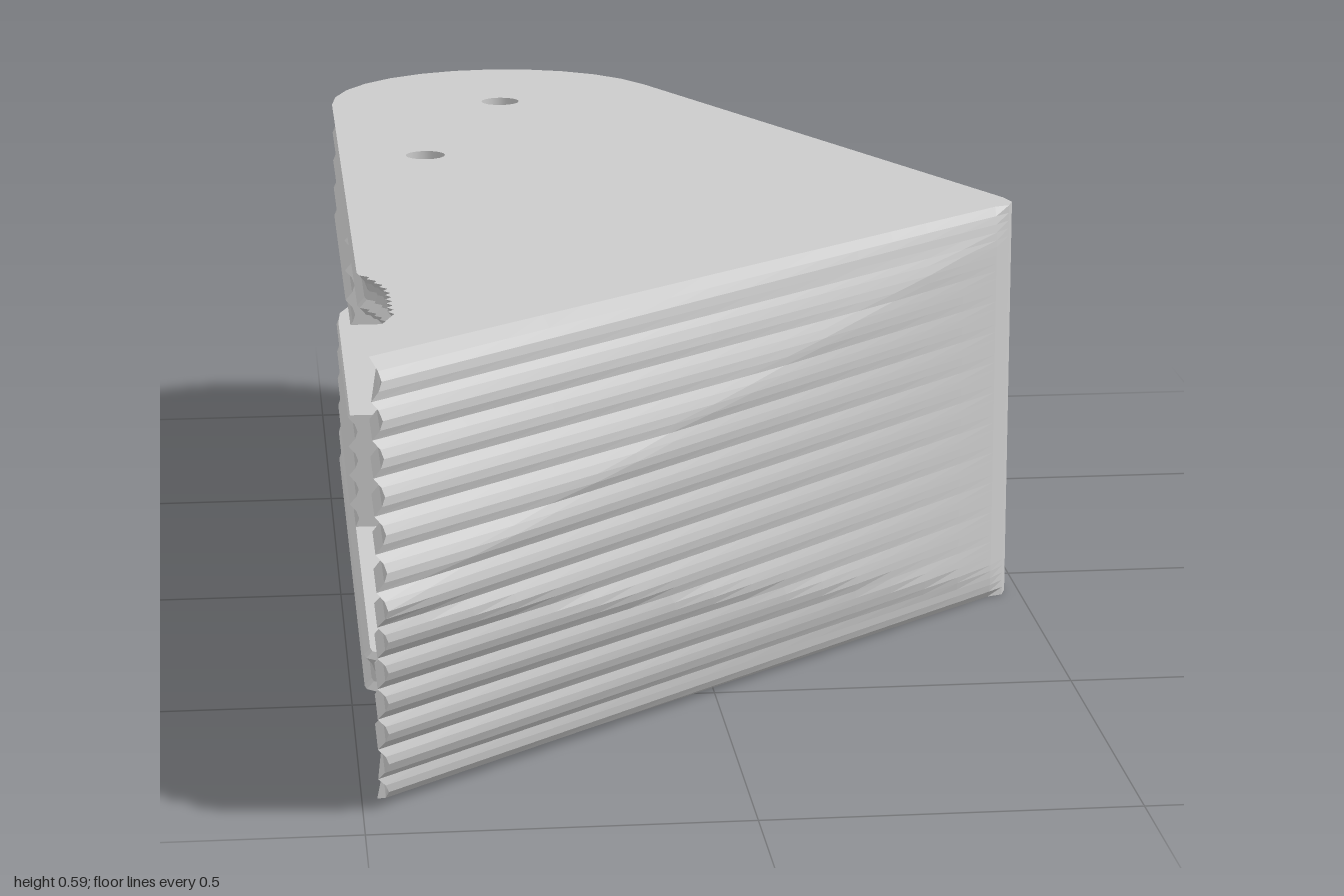
import * as THREE from 'three';

const H = 0.59, MID = H / 2, PLATE = 0.055, SLOT = [0.23, 0.37];
const PITCH = H / 13, STEP = PITCH / 4;
const ARC = { x: -0.21, z: -0.73, r: 0.27 };
const HOLES = [[-0.21, -0.73], [-0.35, -0.33]], HOLE_R = 0.03;
const { lerp, clamp } = THREE.MathUtils;

// Scalloped grip ribs: x of the gripping side at height y
const ribX = (y) => -0.48 + 0.014 * Math.abs(Math.sin((Math.PI * y) / PITCH));

// Faceted nose: a point at mid height on the grip side fading to a flat edge
function nosePoint(u, y, inset, xEnd) {
  const off = Math.abs(y - MID);
  const bulge = 0.08 * (1 - Math.max(u, clamp(off / 0.26, 0, 1)));
  const t = clamp((off - 0.235) / 0.06, 0, 1);
  const round = 0.05 * (1 - 0.6 * u) * (1 - Math.sqrt(1 - t * t));
  return [lerp(ribX(y), xEnd, u), lerp(0.92, 0.13, u) + bulge - round - inset];
}

function noseEdge(y, inset, xEnd, n = 16) {
  return Array.from({ length: n + 1 }, (_, i) => nosePoint(i / n, y, inset, xEnd));
}

// Rounded rear end, angles measured from +x towards -z
function arc(a0, a1, n) {
  return Array.from({ length: n + 1 }, (_, i) => {
    const a = lerp(a0, a1, i / n);
    return [ARC.x + ARC.r * Math.cos(a), ARC.z - ARC.r * Math.sin(a)];
  });
}

const CORNER = [[0.472, 0.102], [0.48, 0.08], [0.472, 0.05]];
const A_SIDE = 0.445, A_SLOT = 1.05; // where the slanted side and the slot meet the arc
const INNER_REAR = arc(A_SLOT, A_SLOT, 1)[0];
const INNER_CORNER_X = 0.4;
const BLOCK_END = -0.16;
const innerXAt = (z) => lerp(INNER_REAR[0], INNER_CORNER_X, (z - INNER_REAR[1]) / (0.03 - INNER_REAR[1]));

// Outline of the outer plates, with the toothed finger notch
function plateOutline(y) {
  const x = ribX(y);
  const pts = [[x, 0.42]];
  for (let i = 0; i < 20; i++) {
    const z = 0.435 + i * 0.0115;
    const dip = 0.037 * Math.sin((Math.PI / 2) * clamp((z - 0.42) / 0.13, 0, 1));
    pts.push([x + dip + (i % 2 ? 0.004 : -0.004), z]);
  }
  pts.push([x + 0.025, 0.7], [x + 0.012, 0.76]);
  const rear = arc(A_SIDE, Math.PI, 12);
  rear[rear.length - 1][0] = x;
  return [...pts, ...noseEdge(y, 0, 0.45), ...CORNER, ...rear];
}

// Outline of the thin wall along the nose and the slanted side
function wallOutline(y) {
  return [
    ...noseEdge(y, 0, 0.45), ...CORNER, ...arc(A_SIDE, A_SLOT, 4),
    ...noseEdge(y, 0.1, INNER_CORNER_X).reverse(),
  ];
}

// Outline of the solid rear blocks either side of the slot
function blockOutline(y) {
  const rear = arc(A_SLOT, Math.PI, 9);
  rear[rear.length - 1][0] = ribX(y);
  return [[ribX(y), BLOCK_END], [innerXAt(BLOCK_END), BLOCK_END], ...rear];
}

// Stacks outlines from y0 to y1 and closes both ends with pierced caps
function loft(outline, y0, y1, holes = []) {
  const ys = [y0];
  for (let k = 1; k * STEP < y1 - 0.002; k++) if (k * STEP > y0 + 0.002) ys.push(k * STEP);
  ys.push(y1);
  const pos = [];
  const put = (y, ...pts) => pts.forEach(([x, z]) => pos.push(x, y, z));
  for (let k = 0; k < ys.length - 1; k++) {
    const lo = outline(ys[k]), hi = outline(ys[k + 1]);
    lo.forEach((p, i) => {
      const j = (i + 1) % lo.length;
      put(ys[k], p, lo[j]); put(ys[k + 1], hi[j]);
      put(ys[k], p); put(ys[k + 1], hi[j], hi[i]);
    });
  }
  const rings = holes.map(([cx, cz]) => Array.from({ length: 16 }, (_, i) => {
    const a = (i / 16) * Math.PI * 2;
    return [cx + HOLE_R * Math.sin(a), cz + HOLE_R * Math.cos(a)];
  }));
  const flat = (pts) => pts.map(([x, z]) => new THREE.Vector2(x, -z));
  for (const [y, up] of [[y0, false], [y1, true]]) {
    const rim = outline(y), all = [...rim, ...rings.flat()];
    for (const [a, b, c] of THREE.ShapeUtils.triangulateShape(flat(rim), rings.map(flat))) {
      if (up) put(y, all[a], all[b], all[c]);
      else put(y, all[a], all[c], all[b]);
    }
  }
  const geo = new THREE.BufferGeometry();
  geo.setAttribute('position', new THREE.Float32BufferAttribute(pos, 3));
  geo.computeVertexNormals();
  return geo;
}

export function createModel() {
  const group = new THREE.Group();
  const grey = new THREE.MeshStandardMaterial({ color: 0xcccccc, flatShading: true });
  const bore = new THREE.MeshStandardMaterial({ color: 0xcccccc, side: THREE.BackSide });
  const add = (name, geo, mat = grey) => {
    const mesh = new THREE.Mesh(geo, mat);
    mesh.name = name;
    group.add(mesh);
    return mesh;
  };

  // Plates, blocks and the wall joining them
  add('bottomPlate', loft(plateOutline, 0, PLATE, HOLES));
  add('topPlate', loft(plateOutline, H - PLATE, H, HOLES));
  add('lowerBlock', loft(blockOutline, PLATE, SLOT[0], HOLES));
  add('upperBlock', loft(blockOutline, SLOT[1], H - PLATE, HOLES));
  add('noseAndSideWall', loft(wallOutline, PLATE, H - PLATE));

  // Pin holes through both halves
  for (const [x, z] of HOLES) {
    for (const [y0, y1] of [[0, SLOT[0]], [SLOT[1], H]]) {
      const geo = new THREE.CylinderGeometry(HOLE_R, HOLE_R, y1 - y0, 16, 1, true);
      add('pinHole', geo, bore).position.set(x, (y0 + y1) / 2, z);
    }
  }
  return group;
}
